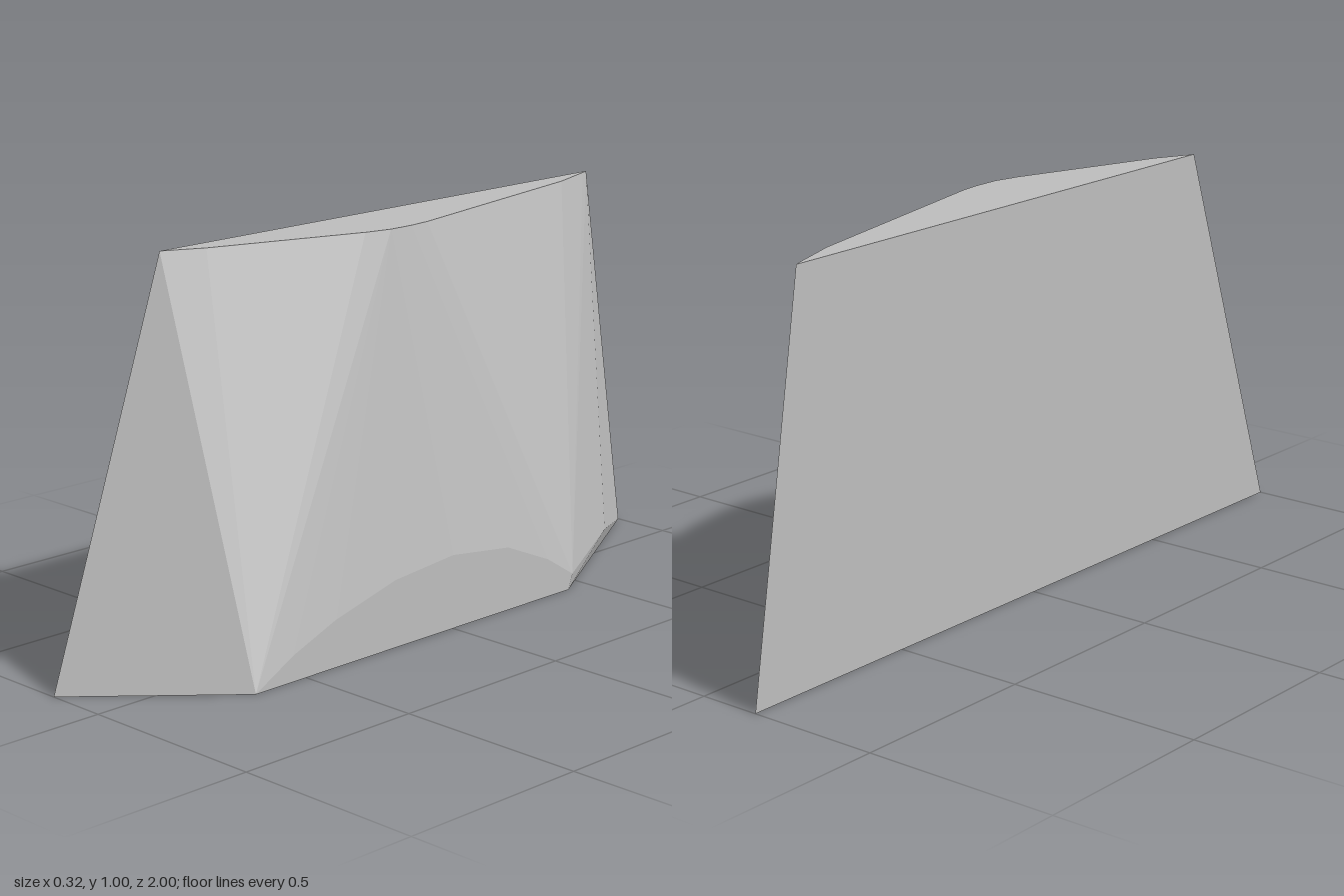
import * as THREE from 'three';
import { ConvexGeometry } from 'three/addons/geometries/ConvexGeometry.js';

export function createModel() {
  const group = new THREE.Group();
  group.name = 'wedgeBlock';
  const stone = new THREE.MeshStandardMaterial({ color: 0xbfbfbf });
  stone.name = 'grey';

  // Base outline on the ground: x, z
  const base = [[-0.16, 1], [0.16, 0.66], [0.16, -0.43], [-0.16, -1]];

  // Top outline: x, z at full height
  const top = [
    [-0.16, -0.84], [-0.15, -0.815], [-0.105, -0.68], [0.03, -0.04],
    [0.036, 0.02], [0.036, 0.09], [0.02, 0.16], [-0.11, 0.55], [-0.16, 0.65],
  ];

  // Arched upper edge of the flat strip at the foot of the bulging side: z, y
  const arch = [
    [0.54, 0.065], [0.4, 0.12], [0.2, 0.172], [0, 0.19],
    [-0.2, 0.165], [-0.35, 0.1], [-0.445, 0.04],
  ];

  const points = [
    ...base.map(([x, z]) => new THREE.Vector3(x, 0, z)),
    ...top.map(([x, z]) => new THREE.Vector3(x, 1, z)),
    ...arch.map(([z, y]) => new THREE.Vector3(0.16, y, z)),
    // Raised corner behind the arch
    new THREE.Vector3(0.005, 0.06, -0.75),
  ];

  // Flat-faced solid wrapped around the outlines
  const block = new THREE.Mesh(new ConvexGeometry(points), stone);
  block.name = 'block';
  group.add(block);
  return group;
}
